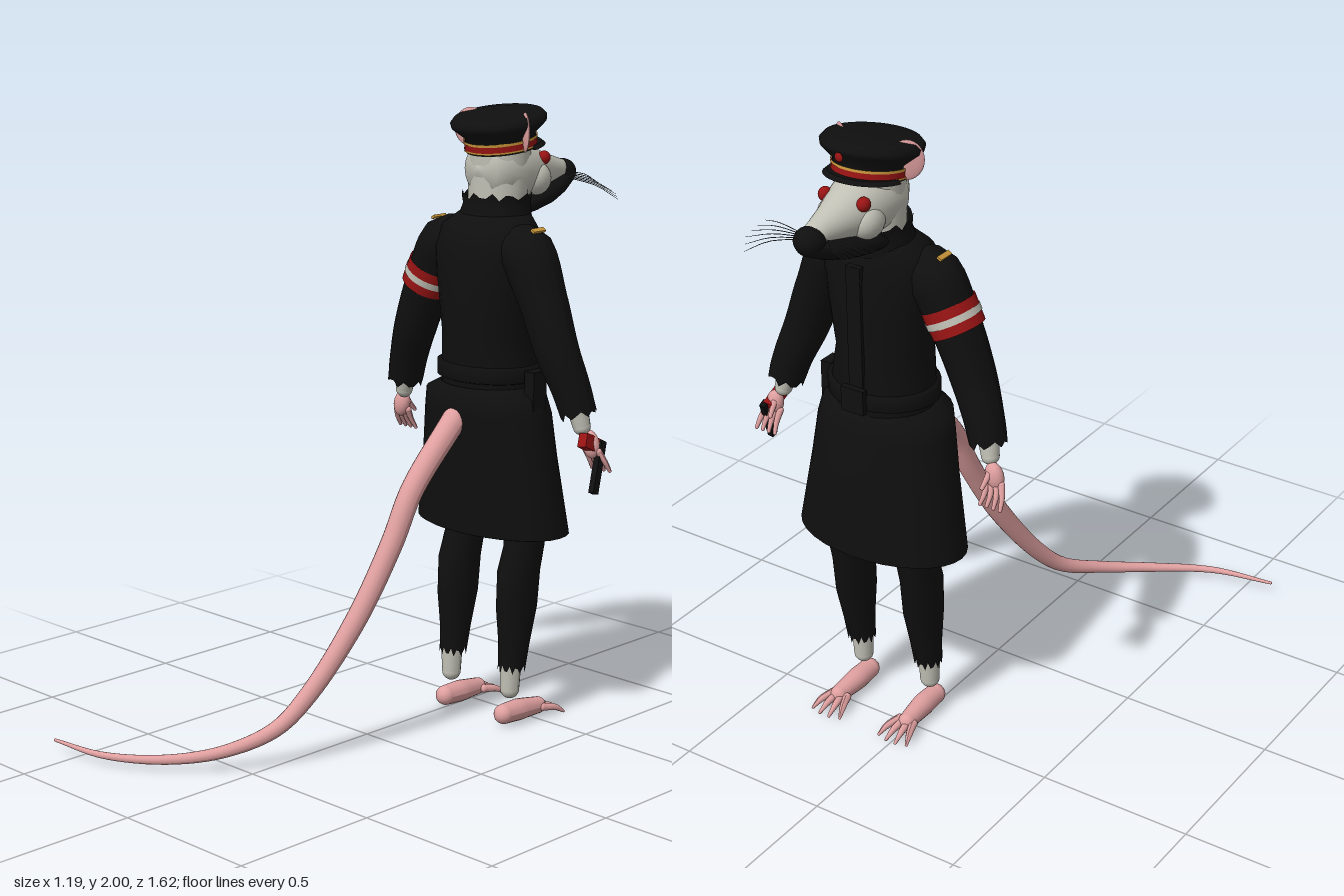
import * as THREE from 'three';

const CX = 0.13; // body centre line
const V = (x, y, z) => new THREE.Vector3(x, y, z);
const mat = (name, color) => {
  const m = new THREE.MeshStandardMaterial({ color, side: THREE.DoubleSide });
  m.name = name;
  return m;
};

export function createModel() {
  const black = mat('black cloth', 0x0f0f0f);
  const fur = mat('pale fur', 0xc2c1b6);
  const pink = mat('pink skin', 0xdf9f9f);
  const red = mat('red', 0x9a1414);
  const gold = mat('gold', 0xc8963a);
  const grey = mat('whisker grey', 0x4a4a4a);
  const model = new THREE.Group();

  const add = (name, geo, material, x = 0, y = 0, z = 0, parent = model) => {
    const m = new THREE.Mesh(geo, material);
    m.name = name;
    m.position.set(x, y, z);
    parent.add(m);
    return m;
  };

  const ball = (name, material, x, y, z, rx, ry, rz) => {
    const m = add(name, new THREE.SphereGeometry(1, 20, 14), material, x, y, z);
    m.scale.set(rx, ry, rz);
    return m;
  };

  // Skin over elliptical rings [x, y, z, ra, rb], ascending along axis y or z;
  // jag makes the first ring ragged
  function loft(name, material, rings, axis = 'y', jag = 0, n = 32) {
    const pos = [], idx = [];
    rings.forEach(([x, y, z, ra, rb], i) => {
      for (let j = 0; j < n; j++) {
        const a = (j / n) * Math.PI * 2, c = Math.cos(a) * ra, s = Math.sin(a) * rb;
        const drop = i === 0 ? jag * Math.sin(j * 2.4) : 0;
        if (axis === 'y') pos.push(x + c, y + drop, z - s);
        else pos.push(x + c, y + s, z);
        if (i < rings.length - 1) {
          const k = (j + 1) % n, p = i * n, q = p + n;
          idx.push(p + j, p + k, q + k, p + j, q + k, q + j);
        }
      }
    });
    const g = new THREE.BufferGeometry();
    g.setAttribute('position', new THREE.Float32BufferAttribute(pos, 3));
    g.setIndex(idx);
    g.computeVertexNormals();
    return add(name, g, material);
  }

  // Tube along points with a radius at each point, rounded at both ends
  function taper(name, material, pts, radii, seg = 20, sides = 16, jag = 0) {
    const curve = new THREE.CatmullRomCurve3(pts);
    const g = new THREE.TubeGeometry(curve, seg, 1, sides);
    const p = g.attributes.position, v = V(0, 0, 0);
    for (let i = 0; i <= seg; i++) {
      const c = curve.getPointAt(i / seg), dir = curve.getTangentAt(i / seg);
      const f = curve.getUtoTmapping(i / seg) * (radii.length - 1);
      const k = Math.min(Math.floor(f), radii.length - 2);
      const r = THREE.MathUtils.lerp(radii[k], radii[k + 1], f - k);
      for (let j = 0; j <= sides; j++) {
        const id = i * (sides + 1) + j;
        v.fromBufferAttribute(p, id).sub(c).multiplyScalar(r).add(c);
        if (i === seg && jag) v.addScaledVector(dir, jag * Math.sin((j % sides) * 2.4));
        p.setXYZ(id, v.x, v.y, v.z);
      }
    }
    g.computeVertexNormals();
    const m = add(name, g, material);
    if (!jag) {
      const r = radii[radii.length - 1], e = pts[pts.length - 1];
      ball(name + 'Tip', material, e.x, e.y, e.z, r, r, r);
    }
    ball(name + 'Root', material, pts[0].x, pts[0].y, pts[0].z, radii[0], radii[0], radii[0]);
    return m;
  }

  // Coat
  loft('coatTop', black, [
    [CX, 1.05, -0.42, 0.16, 0.13], [CX, 1.2, -0.425, 0.165, 0.14], [CX, 1.3, -0.415, 0.15, 0.143],
    [CX, 1.45, -0.415, 0.175, 0.146], [CX, 1.56, -0.415, 0.19, 0.143], [CX, 1.63, -0.42, 0.17, 0.128],
    [CX, 1.67, -0.44, 0.12, 0.105], [CX, 1.69, -0.44, 0.06, 0.05]]);
  loft('coatSkirt', black, [
    [CX, 0.652, -0.448, 0.01, 0.01], [CX, 0.652, -0.448, 0.285, 0.168], [CX, 0.655, -0.448, 0.292, 0.173],
    [CX, 0.9, -0.43, 0.25, 0.165], [CX, 1.04, -0.42, 0.228, 0.168], [CX, 1.1, -0.41, 0.215, 0.16],
    [CX, 1.13, -0.415, 0.16, 0.135]]);
  loft('belt', black, [
    [CX, 1.145, -0.425, 0.165, 0.14], [CX, 1.15, -0.425, 0.18, 0.152],
    [CX, 1.195, -0.425, 0.18, 0.152], [CX, 1.2, -0.425, 0.16, 0.135]]);
  add('beltBuckle', new THREE.BoxGeometry(0.08, 0.08, 0.02), black, CX, 1.18, -0.58);
  add('frontPlacket', new THREE.BoxGeometry(0.05, 0.42, 0.02), black, CX, 1.4, -0.558);
  add('sheath', new THREE.BoxGeometry(0.04, 0.16, 0.06), black, CX + 0.2, 1.11, -0.42);
  loft('collar', black, [
    [CX, 1.73, -0.45, 0.112, 0.108], [CX, 1.7, -0.45, 0.108, 0.105], [CX, 1.64, -0.44, 0.125, 0.115]], 'y', 0.012);

  // Head
  loft('neck', fur, [[CX, 1.62, -0.445, 0.09, 0.08], [CX, 1.75, -0.455, 0.1, 0.09], [CX, 1.87, -0.46, 0.1, 0.1]]);
  loft('head', fur, [
    [CX, 1.775, -0.795, 0.005, 0.005], [CX, 1.775, -0.78, 0.03, 0.028], [CX, 1.78, -0.72, 0.042, 0.042],
    [CX, 1.785, -0.65, 0.06, 0.06], [CX, 1.79, -0.58, 0.085, 0.085], [CX, 1.8, -0.5, 0.104, 0.105],
    [CX, 1.805, -0.42, 0.1, 0.1], [CX, 1.81, -0.375, 0.07, 0.075], [CX, 1.81, -0.36, 0.005, 0.005]], 'z');
  loft('jaw', black, [
    [CX, 1.76, -0.8, 0.005, 0.005], [CX, 1.755, -0.785, 0.035, 0.025], [CX, 1.735, -0.72, 0.062, 0.038],
    [CX, 1.715, -0.65, 0.08, 0.042], [CX, 1.7, -0.57, 0.09, 0.043], [CX, 1.69, -0.5, 0.09, 0.04],
    [CX, 1.69, -0.44, 0.05, 0.03]], 'z');
  ball('nose', black, CX, 1.77, -0.762, 0.047, 0.042, 0.046);

  // Peaked cap, tilted up at the front
  const cap = new THREE.Group();
  cap.name = 'cap';
  cap.position.set(CX, 1.89, -0.465);
  cap.rotation.x = 0.15;
  model.add(cap);
  const crown = [[0.112, -0.02], [0.112, 0.025], [0.15, 0.06], [0.153, 0.075], [0.14, 0.09], [0.08, 0.098], [0.001, 0.1]];
  add('crown', new THREE.LatheGeometry(crown.map(p => new THREE.Vector2(...p)), 40), black, 0, 0, 0, cap);
  [[0, 0.022, red], [0.014, 0.009, gold], [-0.012, 0.006, gold]].forEach(([y, h, m], i) =>
    add('capBand', new THREE.CylinderGeometry(0.115 + (i > 0) * 0.002, 0.115 + (i > 0) * 0.002, h, 40, 1, true), m, 0, y, 0, cap));
  const peak = new THREE.CylinderGeometry(0.112, 0.125, 0.012, 24, 1, false, Math.PI / 2, Math.PI);
  add('visor', peak, black, 0, -0.015, -0.022, cap);
  ball('capBadge', red, CX, 1.97, -0.615, 0.014, 0.014, 0.006);

  // Tail
  taper('tail', pink, [
    V(0.13, 1.025, -0.26), V(0.13, 0.83, -0.07), V(0.12, 0.67, 0.01), V(0.09, 0.44, 0.14), V(0.04, 0.22, 0.3),
    V(0, 0.125, 0.4), V(-0.08, 0.068, 0.54), V(-0.2, 0.042, 0.665), V(-0.38, 0.036, 0.775), V(-0.59, 0.04, 0.806)],
  [0.04, 0.037, 0.036, 0.034, 0.029, 0.025, 0.02, 0.016, 0.011, 0.005], 60, 18);

  // Paired parts
  for (const s of [-1, 1]) {
    const P = (dx, y, z) => V(CX + s * dx, y, z);

    // Face
    ball('cheek', fur, CX + s * 0.055, 1.77, -0.565, 0.05, 0.055, 0.06);
    ball('eye', red, CX + s * 0.068, 1.835, -0.595, 0.02, 0.022, 0.022);
    const ear = ball('ear', pink, CX + s * 0.115, 1.93, -0.45, 0.052, 0.062, 0.008);
    ear.rotation.y = -s * 0.6;
    for (let i = 0; i < 6; i++) {
      const a = i / 5 - 0.5;
      taper('whisker', grey, [P(0.045, 1.765 + a * 0.02, -0.74), P(0.14, 1.755 + a * 0.04, -0.745 + a * 0.05),
        P(0.24 - Math.abs(a) * 0.06, 1.725 + a * 0.06, -0.745 + a * 0.1)], [0.0015, 0.0013, 0.0006], 6, 4);
    }

    // Arm
    taper('sleeve', black, [P(0.1, 1.565, -0.41), P(0.165, 1.56, -0.405), P(0.24, 1.43, -0.4), P(0.305, 1.27, -0.4),
      P(0.35, 1.16, -0.415), P(0.375, 1.08, -0.425)], [0.075, 0.092, 0.078, 0.07, 0.062, 0.058], 24, 20, 0.012);
    add('epaulette', new THREE.BoxGeometry(0.016, 0.008, 0.055), gold, CX + s * 0.212, 1.638, -0.408).rotation.z = -s * 0.55;
    taper('wrist', fur, [P(0.37, 1.11, -0.42), P(0.385, 1.04, -0.43)], [0.036, 0.028], 4);
    ball('palm', pink, CX + s * 0.41, 0.985, -0.445, 0.03, 0.045, 0.024).rotation.z = s * 0.25;
    for (let i = 0; i < 4; i++) {
      const o = (i - 1.5) * 0.017;
      taper('finger', pink, [P(0.412 + o, 0.965, -0.45), P(0.42 + o * 1.2, 0.93, -0.468),
        P(0.42 + o * 1.4, 0.9, -0.485)], [0.011, 0.009, 0.006], 6, 8);
    }
    taper('thumb', pink, [P(0.4, 0.995, -0.46), P(0.395, 0.96, -0.49)], [0.011, 0.007], 4, 8);

    // Leg
    const x = CX + s * 0.13;
    loft('trouserLeg', black, [
      [x, 0.2, -0.405, 0.045, 0.045], [x, 0.28, -0.415, 0.05, 0.052], [x, 0.4, -0.425, 0.057, 0.077],
      [x, 0.52, -0.433, 0.06, 0.08], [x, 0.6, -0.457, 0.06, 0.073], [x, 0.75, -0.465, 0.07, 0.078]], 'y', 0.015);
    taper('ankle', fur, [V(x, 0.24, -0.4), V(x, 0.125, -0.397)], [0.038, 0.031], 6);
    taper('foot', pink, [V(x, 0.045, -0.37), V(x, 0.043, -0.44), V(x + s * 0.004, 0.037, -0.53)], [0.033, 0.036, 0.028], 12);
    for (let i = 0; i < 4; i++) {
      const o = (i - 1.5) * 0.022;
      taper('toe', pink, [V(x + o * 0.8, 0.035, -0.53), V(x + o * 1.3, 0.028, -0.575),
        V(x + o * 1.6, 0.009, -0.622 + Math.abs(o) * 0.5)], [0.014, 0.011, 0.005], 6, 8);
    }
  }

  // Plain armband on the right sleeve
  const band = new THREE.Group();
  band.name = 'armband';
  band.position.set(CX - 0.237, 1.447, -0.4);
  band.rotation.z = -0.48;
  model.add(band);
  add('armbandCloth', new THREE.CylinderGeometry(0.086, 0.083, 0.085, 28, 1, true), red, 0, 0, 0, band);
  add('armbandStripe', new THREE.CylinderGeometry(0.0873, 0.0867, 0.022, 28, 1, true), fur, 0, 0, 0, band);

  // Pistol in the left hand
  const gun = new THREE.Group();
  gun.name = 'pistol';
  gun.position.set(0.568, 0.93, -0.45);
  gun.rotation.set(-0.45, 0, 0.18);
  model.add(gun);
  add('barrel', new THREE.BoxGeometry(0.02, 0.17, 0.026), black, 0, -0.015, 0, gun);
  add('grip', new THREE.BoxGeometry(0.032, 0.045, 0.08), red, -0.012, 0.05, 0.042, gun);

  return model;
}
